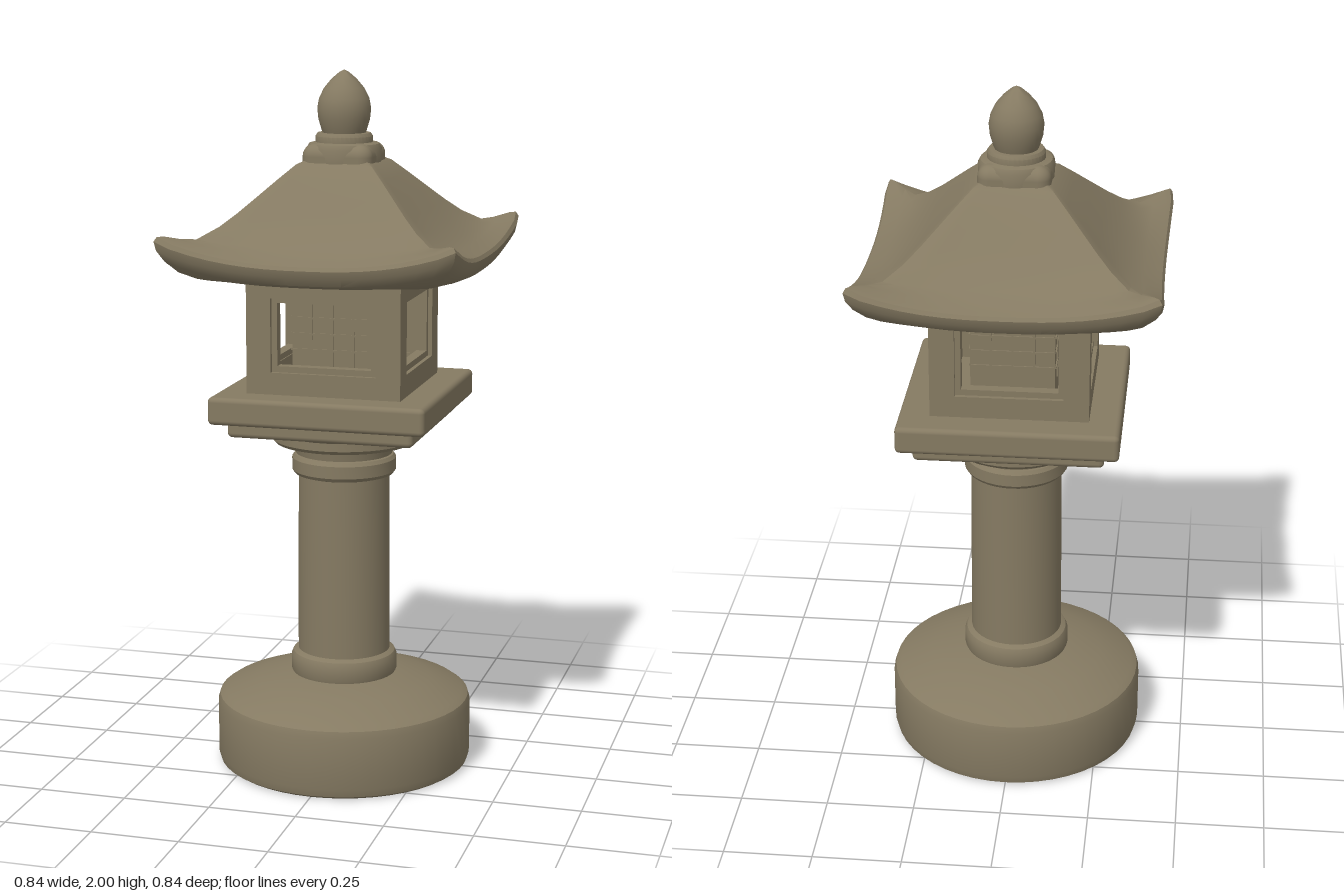
import * as THREE from 'three';
import { toCreasedNormals } from 'three/addons/utils/BufferGeometryUtils.js';
import { RoundedBoxGeometry } from 'three/addons/geometries/RoundedBoxGeometry.js';

const stone = new THREE.MeshStandardMaterial({ color: 0x857a62 });
stone.name = 'weathered stone';

function add(parent, name, geometry, x = 0, y = 0, z = 0) {
  const mesh = new THREE.Mesh(geometry, stone);
  mesh.name = name;
  mesh.position.set(x, y, z);
  parent.add(mesh);
  return mesh;
}

// Turned part from [radius, height] pairs, bottom to top
function turned(profile, sides = 40) {
  const points = profile.map(([r, y]) => new THREE.Vector2(r, y));
  return toCreasedNormals(new THREE.LatheGeometry(points, sides), 0.6);
}

// Square slab with softened edges
function slab(parent, name, half, y0, y1, radius) {
  add(parent, name, new RoundedBoxGeometry(half * 2, y1 - y0, half * 2, 3, radius), 0, (y0 + y1) / 2, 0);
}

// Flat panel with a rectangular opening; bounds are [halfWidth, bottom, top]
function framed(outer, inner, depth) {
  const trace = (path, [w, b, t]) => path.moveTo(-w, b).lineTo(w, b).lineTo(w, t).lineTo(-w, t).closePath();
  const shape = trace(new THREE.Shape(), outer);
  shape.holes.push(trace(new THREE.Path(), inner));
  return new THREE.ExtrudeGeometry(shape, { depth, bevelEnabled: false });
}

// Square loft: each ring is [half size, height at side centre, height at corner]
function squareLoft(rings, perSide = 16) {
  const positions = [], index = [], count = perSide * 4;
  for (const [r, yMid, yCorner] of rings) {
    for (let j = 0; j < count; j++) {
      const t = (j % perSide) / perSide * 2 - 1;
      const a = Math.abs(t);
      const round = a === 1 ? 0.983 : 1;
      const bow = 0.975 + 0.025 * a * a;
      let x = t * r * round, z = r * bow * round;
      for (let k = 0; k < Math.floor(j / perSide); k++) [x, z] = [z, -x];
      positions.push(x, yMid + (yCorner - yMid) * a ** 2.5, z);
    }
  }
  for (let i = 0; i < rings.length - 1; i++) {
    for (let j = 0; j < count; j++) {
      const a = i * count + j, b = i * count + (j + 1) % count;
      index.push(a, b, b + count, a, b + count, a + count);
    }
  }
  const geometry = new THREE.BufferGeometry();
  geometry.setAttribute('position', new THREE.Float32BufferAttribute(positions, 3));
  geometry.setIndex(index);
  return toCreasedNormals(geometry, 0.6);
}

export function createModel() {
  const lantern = new THREE.Group();
  lantern.name = 'stoneLantern';

  // Round foot and column
  add(lantern, 'base', turned([
    [0, 0], [0.35, 0], [0.362, 0.008], [0.368, 0.03], [0.368, 0.18], [0.362, 0.2],
    [0.345, 0.212], [0.25, 0.245], [0.16, 0.268], [0, 0.27],
  ], 48));
  add(lantern, 'lowerCollar', turned([
    [0.145, 0.255], [0.153, 0.275], [0.153, 0.315], [0.147, 0.328], [0.135, 0.335], [0.12, 0.34],
  ]));
  add(lantern, 'column', turned([[0.133, 0.26], [0.132, 0.6], [0.13, 0.9]]));
  add(lantern, 'upperCollar', turned([
    [0.125, 0.855], [0.142, 0.86], [0.149, 0.87], [0.149, 0.905], [0.142, 0.915], [0.125, 0.918],
  ]));

  // Stepped capital and square platform
  add(lantern, 'capital', turned([
    [0.12, 0.915], [0.138, 0.918], [0.142, 0.94], [0.16, 0.95], [0.198, 0.952],
    [0.207, 0.962], [0.207, 0.985], [0.22, 1.0], [0.22, 1.02],
  ]));
  slab(lantern, 'platformUnderside', 0.265, 0.998, 1.06, 0.014);
  slab(lantern, 'platform', 0.308, 1.04, 1.118, 0.014);

  // Fire chamber: four walls with recessed window frames
  const chamber = new THREE.Group();
  chamber.name = 'fireChamber';
  lantern.add(chamber);
  for (let i = 0; i < 4; i++) {
    const side = new THREE.Group();
    side.name = 'chamberSide';
    side.rotation.y = i * Math.PI / 2;
    chamber.add(side);
    add(side, 'wall', framed([0.22, 1.11, 1.455], [0.15, 1.18, 1.387], 0.045), 0, 0, 0.175);
    add(side, 'windowFrame', framed([0.152, 1.175, 1.39], [0.134, 1.197, 1.374], 0.03), 0, 0, 0.178);
    // Raised lattice on the inner lamp
    for (const x of [-0.06, 0, 0.06]) {
      add(side, 'latticeUpright', new THREE.BoxGeometry(0.006, 0.18, 0.006), x, 1.27, 0.119);
    }
    for (const y of [1.23, 1.275, 1.32]) {
      add(side, 'latticeBar', new THREE.BoxGeometry(0.23, 0.006, 0.006), 0, y, 0.119);
    }
  }
  add(chamber, 'innerLamp', new THREE.BoxGeometry(0.236, 0.25, 0.236), 0, 1.238, 0);

  // Sweeping roof with upturned corners
  add(lantern, 'roof', squareLoft([
    [0.001, 1.45, 1.45], [0.22, 1.445, 1.447], [0.33, 1.44, 1.45], [0.37, 1.442, 1.472],
    [0.4, 1.452, 1.505], [0.417, 1.475, 1.535], [0.422, 1.495, 1.56], [0.415, 1.505, 1.572],
    [0.4, 1.51, 1.572], [0.365, 1.522, 1.562], [0.33, 1.54, 1.558], [0.28, 1.578, 1.588],
    [0.24, 1.617, 1.622], [0.2, 1.658, 1.66], [0.15, 1.708, 1.708], [0.11, 1.745, 1.745],
    [0.08, 1.76, 1.76], [0.001, 1.765, 1.765],
  ]));

  // Neck and bud-shaped finial
  add(lantern, 'neck', new RoundedBoxGeometry(0.2, 0.085, 0.2, 4, 0.035), 0, 1.758, 0);
  add(lantern, 'neckBand', turned([
    [0.09, 1.735], [0.103, 1.745], [0.105, 1.785], [0.098, 1.798], [0.08, 1.802],
    [0.08, 1.818], [0.074, 1.827], [0, 1.83],
  ]));
  add(lantern, 'finial', turned([
    [0.055, 1.815], [0.063, 1.835], [0.072, 1.865], [0.075, 1.895], [0.07, 1.922],
    [0.056, 1.95], [0.035, 1.975], [0.014, 1.993], [0, 2.0],
  ], 32));

  return lantern;
}
